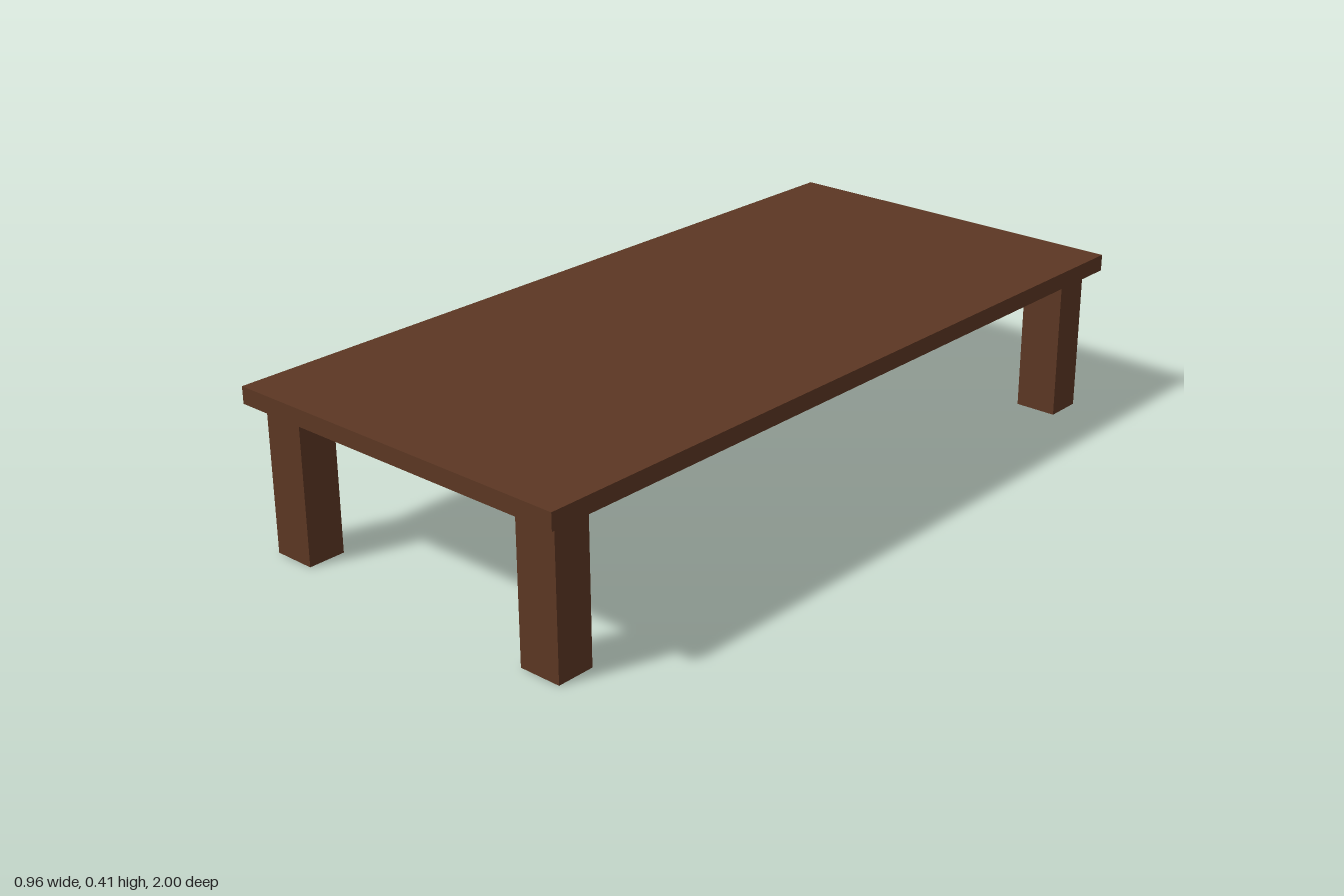
import * as THREE from 'three';

export function createModel() {
  const group = new THREE.Group();
  group.name = 'lowTable';
  const wood = new THREE.MeshStandardMaterial({ color: 0x5c3723 });

  const legHeight = 0.371, topThickness = 0.042;

  function addBox(name, size, position) {
    const mesh = new THREE.Mesh(new THREE.BoxGeometry(...size), wood);
    mesh.name = name;
    mesh.position.set(...position);
    group.add(mesh);
  }

  // Flat rectangular slab
  addBox('tableTop', [0.957, topThickness, 2], [0, legHeight + topThickness / 2, 0]);

  // Four legs, set in slightly from the corners
  for (const [side, sx] of [['Left', 1], ['Right', -1]]) {
    for (const [end, sz] of [['front', 1], ['back', -1]]) {
      addBox(end + side + 'Leg', [0.11, legHeight, 0.097], [sx * 0.392, legHeight / 2, sz * 0.914]);
    }
  }
  return group;
}
